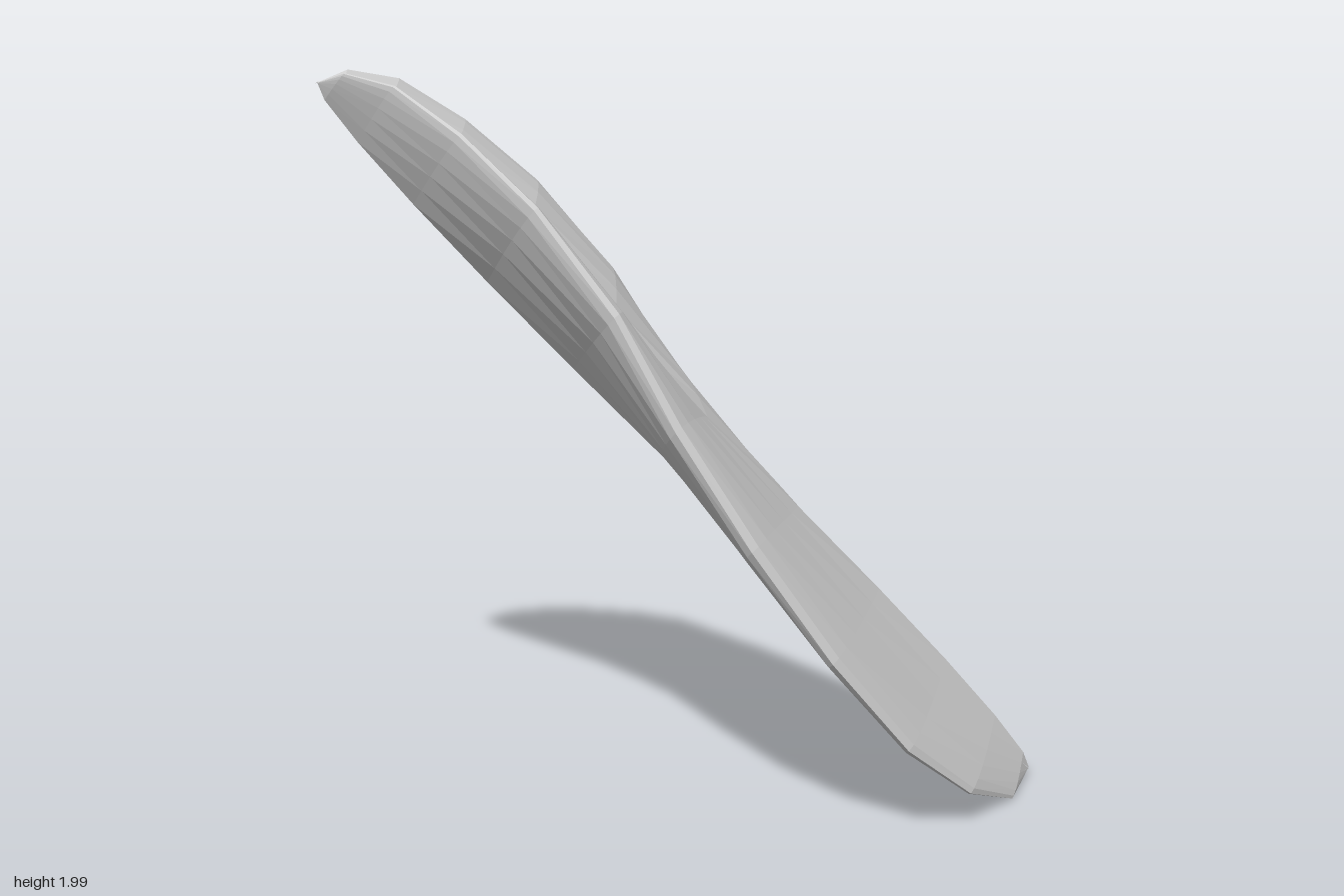
import * as THREE from 'three';

const ROWS = 12, SEGS = 24;

// Rim stations from the round base to the pointed tip: [along the length, half width, lift]
const RIM = [
  [1.95, 0, -0.01], [1.88, 0.2, -0.1], [1.64, 0.39, -0.16], [1.28, 0.52, -0.18],
  [0.81, 0.58, -0.13], [0.3, 0.575, -0.04], [-0.19, 0.51, 0.07], [-0.62, 0.42, 0.2],
  [-1.08, 0.3, 0.26], [-1.45, 0.2, 0.25], [-1.74, 0.12, 0.2], [-1.9, 0.06, 0.1],
  [-1.95, 0, -0.01],
];

// A thin lens-shaped section, folded along the midrib so the sides rise at the tip and droop at the base
function petalPoint(row, seg) {
  const [rimAlong, width, lift] = RIM[row];
  const angle = (seg / SEGS) * Math.PI * 2;
  const across = Math.cos(angle), fold = Math.abs(across);
  const theta = (row / ROWS) * Math.PI;
  const along = THREE.MathUtils.lerp(1.95 * Math.cos(theta), rimAlong, fold);
  const rise = lift * fold + 0.115 * Math.sin(theta) * Math.sin(angle);
  // Lay the length on the diagonal, tip up at -x
  return [(along + rise) / 2, 1 + (rise - along) / 2, width * across];
}

export function createModel() {
  const positions = [], index = [];
  for (let i = 0; i <= ROWS; i++) {
    for (let j = 0; j < SEGS; j++) positions.push(...petalPoint(i, j));
  }
  for (let i = 0; i < ROWS; i++) {
    for (let j = 0; j < SEGS; j++) {
      const k = (j + 1) % SEGS;
      const a = i * SEGS + j, b = i * SEGS + k;
      const c = a + SEGS, d = b + SEGS;
      if (i > 0) index.push(a, b, c);
      if (i < ROWS - 1) index.push(b, d, c);
      else if (i === 0) index.push(b, d, c);
    }
  }

  const geometry = new THREE.BufferGeometry();
  geometry.setAttribute('position', new THREE.Float32BufferAttribute(positions, 3));
  geometry.setIndex(index);
  geometry.computeVertexNormals();

  const petal = new THREE.Mesh(
    geometry,
    new THREE.MeshStandardMaterial({ color: 0xcccccc, flatShading: true })
  );
  petal.name = 'petal';

  const group = new THREE.Group();
  group.name = 'foldedPetal';
  group.add(petal);
  return group;
}
